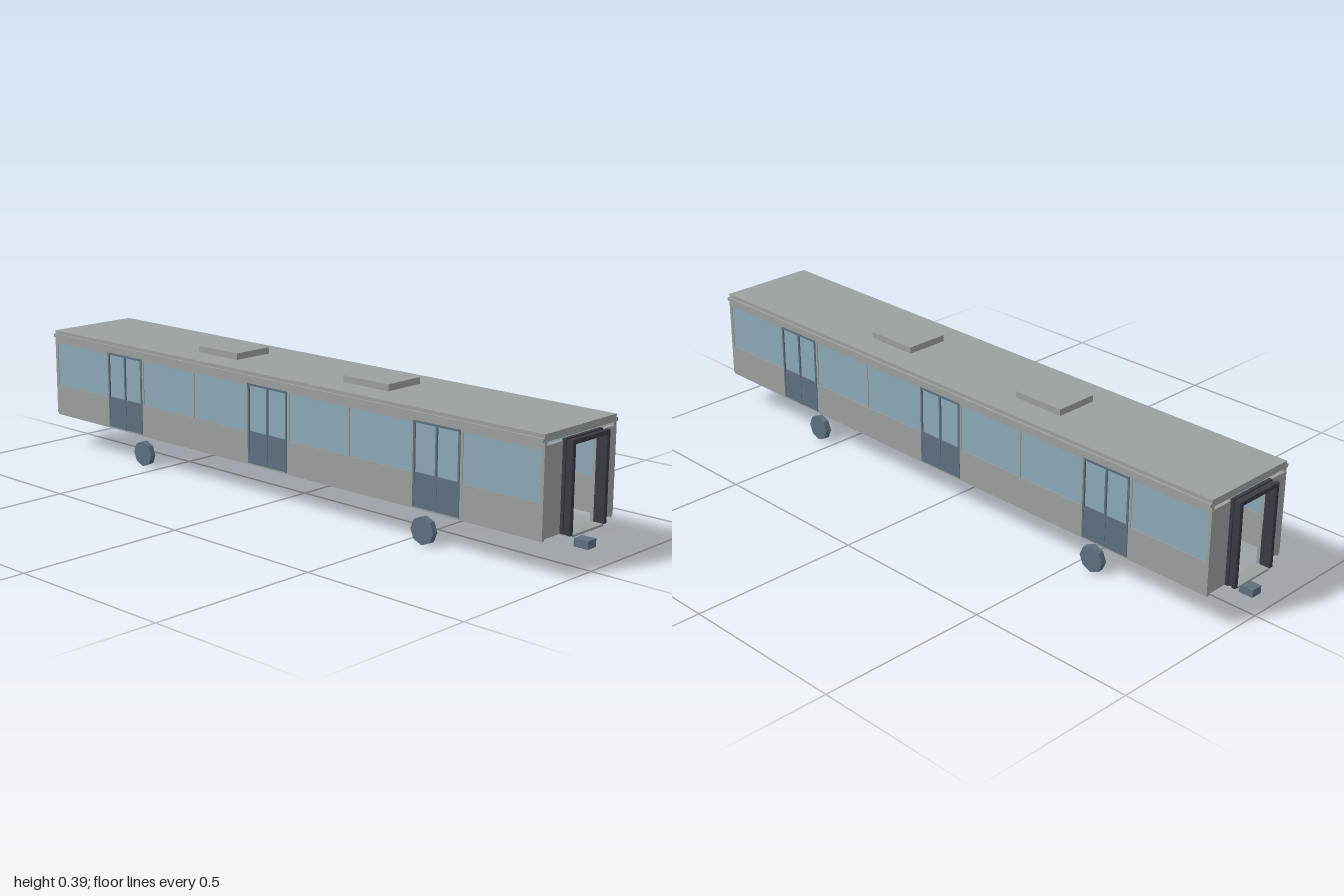
import * as THREE from 'three';

const mat = (name, hex) => {
  const m = new THREE.MeshStandardMaterial({ color: hex });
  m.name = name;
  return m;
};

export function createModel() {
  const grey = mat('body grey', 0x9aa09f);
  const glass = mat('window glass', 0x8ba9b6);
  const steel = mat('blue steel', 0x5f7080);
  const dark = mat('gangway rubber', 0x3a3b44);
  const model = new THREE.Group();
  model.name = 'railCar';

  // Box given by its lower and upper limits on each axis
  const box = (parent, name, m, [x0, x1], [y0, y1], [z0, z1]) => {
    const mesh = new THREE.Mesh(new THREE.BoxGeometry(x1 - x0, y1 - y0, z1 - z0), m);
    mesh.position.set((x0 + x1) / 2, (y0 + y1) / 2, (z0 + z1) / 2);
    mesh.name = name;
    parent.add(mesh);
    return mesh;
  };

  const L = 0.955; // half length of the body
  const doorZ = [-0.617, 0, 0.617];
  const doorHalf = 0.078;
  const sill = 0.197, head = 0.332;

  // Roof and its two equipment boxes
  box(model, 'roof', grey, [-0.15, 0.15], [0.352, 0.372], [-L, L]);
  for (const z of [-0.293, 0.293]) {
    box(model, 'roofUnit', grey, [-0.065, 0.065], [0.372, 0.391], [z - 0.082, z + 0.082]);
  }

  // Side walls with windows, doors and wheels; the second is turned half round
  for (const turn of [0, Math.PI]) {
    const side = new THREE.Group();
    side.name = turn ? 'rightSide' : 'leftSide';
    side.rotation.y = turn;
    model.add(side);
    box(side, 'eave', grey, [0.148, 0.157], [0.352, 0.362], [-L, L]);
    box(side, 'headRail', grey, [0.14, 0.15], [head, 0.352], [-L, L]);
    box(side, 'bottomRail', grey, [0.14, 0.148], [0.1, 0.106], [-L, L]);

    // Lower panels and windows fill the bays between doors
    const bays = [
      [-L, -0.695, 1], [-0.539, -0.078, 2], [0.078, 0.539, 2], [0.695, L, 1],
    ];
    for (const [a, b, count] of bays) {
      box(side, 'lowerPanel', grey, [0.14, 0.15], [0.106, sill], [a, b]);
      box(side, 'windowPane', glass, [0.142, 0.148], [sill, head], [a + 0.004, b - 0.004]);
      for (let i = 0; i <= count; i++) {
        const z = Math.min(Math.max(a + ((b - a) * i) / count, a + 0.004), b - 0.004);
        box(side, 'windowPillar', grey, [0.14, 0.15], [sill, head], [z - 0.004, z + 0.004]);
      }
    }

    // Double doors
    for (const c of doorZ) {
      const door = new THREE.Group();
      door.name = 'door';
      door.position.z = c;
      side.add(door);
      box(door, 'doorLowerPanel', steel, [0.139, 0.151], [0.106, 0.2], [-doorHalf, doorHalf]);
      box(door, 'doorTopRail', steel, [0.139, 0.152], [0.332, 0.338], [-doorHalf, doorHalf]);
      box(door, 'doorGlass', glass, [0.142, 0.148], [0.2, 0.332], [-doorHalf, doorHalf]);
      for (const z of [-doorHalf + 0.003, 0, doorHalf - 0.003]) {
        box(door, 'doorPost', steel, [0.139, 0.152], [0.106, 0.332], [z - 0.003, z + 0.003]);
      }
    }

    // Eight-sided wheels
    for (const z of [-0.56, 0.56]) {
      const geo = new THREE.CylinderGeometry(0.039, 0.039, 0.018, 8).toNonIndexed();
      geo.computeVertexNormals();
      const wheel = new THREE.Mesh(geo, steel);
      wheel.rotation.z = Math.PI / 2;
      wheel.position.set(0.127, 0.039, z);
      wheel.name = 'wheel';
      side.add(wheel);
    }
  }

  // Ends: wall panels, gangway bellows, threshold and coupler
  for (const turn of [0, Math.PI]) {
    const end = new THREE.Group();
    end.name = turn ? 'rearEnd' : 'frontEnd';
    end.rotation.y = turn;
    model.add(end);
    for (const s of [-1, 1]) {
      const x = s < 0 ? [-0.15, -0.066] : [0.066, 0.15];
      box(end, 'endPanel', grey, x, [0.106, 0.343], [L - 0.01, L + 0.001]);
    }
    box(end, 'threshold', grey, [-0.066, 0.066], [0.1, 0.106], [L - 0.01, L + 0.03]);

    // Each rib is an open-bottomed frame; the middle one is recessed
    const ribs = [[0.955, 0.965, 0.078], [0.965, 0.977, 0.074], [0.977, 0.987, 0.078]];
    for (const [z0, z1, w] of ribs) {
      const top = 0.272 + w;
      box(end, 'gangwayTop', dark, [-w, w], [0.338, top], [z0, z1]);
      box(end, 'gangwaySide', dark, [-w, -0.066], [0.106, 0.338], [z0, z1]);
      box(end, 'gangwaySide', dark, [0.066, w], [0.106, 0.338], [z0, z1]);
    }
    box(end, 'coupler', steel, [-0.0175, 0.0175], [0.06, 0.082], [0.957, 1.0]);
  }
  return model;
}
